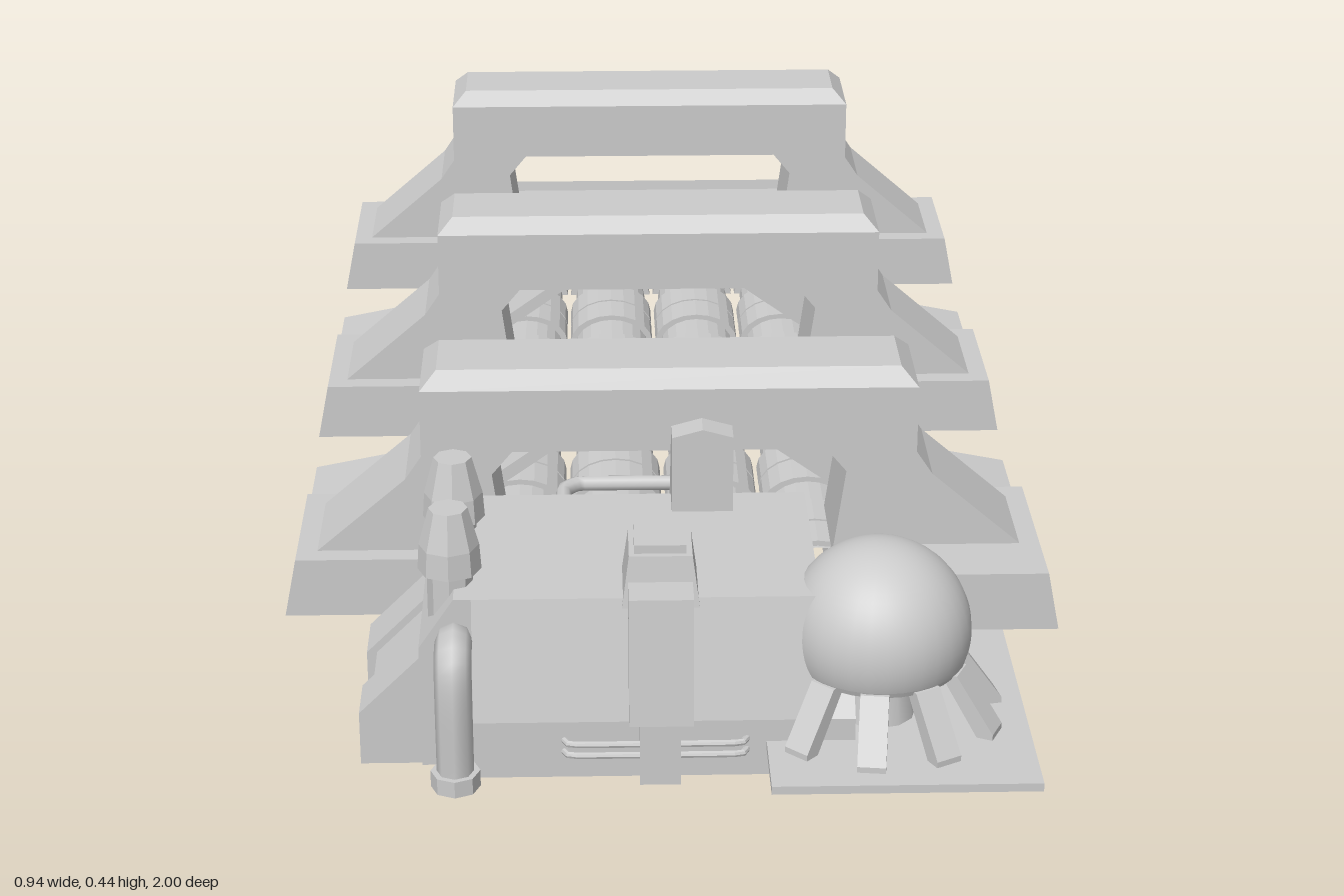
import * as THREE from 'three';

const mat = new THREE.MeshStandardMaterial({ color: 0xcccccc, side: THREE.DoubleSide, flatShading: true });
const smooth = new THREE.MeshStandardMaterial({ color: 0xcccccc, side: THREE.DoubleSide });

export function createModel() {
  const model = new THREE.Group();
  const add = (name, geo, m = mat, parent = model) => {
    const mesh = new THREE.Mesh(geo, m);
    mesh.name = name;
    parent.add(mesh);
    return mesh;
  };
  // box given by its limits; tx and tz pull the top face in
  const box = (x0, x1, y0, y1, z0, z1, tx = 0, tz = 0) => {
    const w = x1 - x0, d = z1 - z0;
    const g = new THREE.BoxGeometry(w, y1 - y0, d);
    const p = g.attributes.position;
    for (let i = 0; i < p.count; i++) {
      if (p.getY(i) > 0) {
        p.setX(i, p.getX(i) * (1 - 2 * tx / w));
        p.setZ(i, p.getZ(i) * (1 - 2 * tz / d));
      }
    }
    return g.translate((x0 + x1) / 2, (y0 + y1) / 2, (z0 + z1) / 2);
  };
  const shape = pts => new THREE.Shape(pts.map(p => new THREE.Vector2(...p)));
  const extrudeZ = (pts, z0, z1) =>
    new THREE.ExtrudeGeometry(shape(pts), { depth: z1 - z0, bevelEnabled: false }).translate(0, 0, z0);
  // profile points are (z, y)
  const extrudeX = (pts, x0, x1) =>
    new THREE.ExtrudeGeometry(shape(pts), { depth: x1 - x0, bevelEnabled: false }).rotateY(-Math.PI / 2).translate(x1, 0, 0);
  const pipe = (pts, r, sharp = 0.1) => new THREE.TubeGeometry(
    new THREE.CatmullRomCurve3(pts.map(p => new THREE.Vector3(...p)), false, 'catmullrom', sharp), 24, r, 8);
  const mirror = pts => [...pts, ...pts.map(([x, y]) => [-x, y]).reverse()];

  // Three gantry arches on side pads
  [-0.61, -0.055, 0.475].forEach((z, i) => {
    const arch = new THREE.Group();
    arch.name = 'arch' + (i + 1);
    model.add(arch);
    const half = [[0.2, 0.2], [0.215, 0.31], [0.19, 0.34]];
    const outer = [[0.43, 0.2], [0.43, 0.21], [0.32, 0.305], [0.3, 0.335], [0.3, 0.42]];
    const right = [...half.slice().reverse(), ...outer];
    add('archFrame', extrudeZ(mirror(right), z - 0.067, z + 0.067), mat, arch);
    add('archCap', box(-0.3, 0.3, 0.42, 0.44, z - 0.067, z + 0.067, 0.02, 0.02), mat, arch);
    for (const s of [-1, 1]) {
      const front = z + (i === 2 && s > 0 ? 0.15 : 0.093);
      const pad = s > 0 ? [0.2, 0.47] : [-0.47, -0.2];
      add('pad', box(...pad, 0.135, 0.21, z - 0.095, front, 0.015, 0), mat, arch);
    }
  });

  // Raised cover plates with side tongues
  const plate = mirror([[0.11, 0.255], [0.26, 0.148], [0.467, 0.105], [0.467, 0.127], [0.26, 0.168], [0.11, 0.275]]);
  for (const z of [-0.33, 0.21]) add('coverPlate', extrudeZ(plate, z - 0.09, z + 0.09));

  // Ribbed conduits along the deck
  const ribs = [];
  for (let i = 0; i <= 18; i++) {
    const z = -0.71 + i * 0.0628, r = i % 3 === 1 ? 0.052 : 0.06;
    ribs.push([r, z], [r, z + 0.058], [0.05, z + 0.058], [0.05, z + 0.0628]);
  }
  for (let i = 0; i < 4; i++) {
    const g = new THREE.LatheGeometry(ribs.map(p => new THREE.Vector2(...p)), 10, Math.PI / 2, Math.PI);
    g.rotateX(Math.PI / 2);
    // keep the arc above the deck
    const p = g.attributes.position;
    for (let k = 0; k < p.count; k++) p.setY(k, Math.abs(p.getY(k)) * 0.7);
    g.computeVertexNormals();
    add('conduit', g.translate(-0.1875 + i * 0.125, 0.143, 0));
  }
  for (const s of [-1, 1]) add('deckEdge', box(s * 0.265 - 0.015, s * 0.265 + 0.015, 0.14, 0.165, -0.71, 0.5));

  // Rear ramp
  add('rearRamp', extrudeX([[-0.7, 0.135], [-0.7, 0.205], [-0.765, 0.205], [-1, 0.137], [-1, 0.135]], -0.31, 0.31));

  // Front machine house
  add('house', extrudeX([[0.57, 0.1], [0.57, 0.25], [0.6, 0.31], [0.87, 0.31], [0.9, 0.17], [0.9, 0.1]], -0.23, 0.16));
  add('houseSide', extrudeX([[0.57, 0.1], [0.57, 0.2], [0.87, 0.2], [0.9, 0.17], [0.9, 0.1]], 0.16, 0.2));
  add('houseShoulder', extrudeZ([[-0.29, 0.1], [-0.22, 0.1], [-0.22, 0.31], [-0.25, 0.31], [-0.29, 0.25]], 0.64, 0.87));
  const side = [[-0.36, 0.1], [-0.28, 0.1], [-0.28, 0.245], [-0.36, 0.165]];
  add('sideHousing', extrudeZ(side, 0.65, 0.72));
  add('sideHousing', extrudeZ(side, 0.8, 0.865));
  add('sideHousingCentre', extrudeZ(side.map(([x, y]) => [x + 0.012, y]), 0.72, 0.8));

  // Front hood, strip and rails
  add('hoodBox', box(-0.062, 0.025, 0.3, 0.36, 0.79, 0.875, 0.008, 0.008));
  add('hoodLid', box(-0.048, 0.01, 0.36, 0.37, 0.805, 0.86));
  add('frontStrip', extrudeX([[0.85, 0.18], [0.93, 0.18], [0.915, 0.33], [0.85, 0.33]], -0.055, 0.017));
  add('frontStripFoot', box(-0.043, 0.003, 0.1, 0.18, 0.89, 0.92));
  for (const y of [0.133, 0.147]) add('frontRail', pipe([[-0.13, y, 0.89], [-0.12, y, 0.91], [0.07, y, 0.91], [0.08, y, 0.89]], 0.004));

  // Wedge block on the roof
  add('roofBlock', extrudeX([[0.53, 0.24], [0.65, 0.28], [0.65, 0.405], [0.615, 0.405]], 0, 0.072));
  add('roofBlockCap', extrudeZ([[0, 0.405], [0.072, 0.405], [0.036, 0.415]], 0.615, 0.65));

  // Vent stacks
  const stack = [[0, 0.24], [0.026, 0.24], [0.026, 0.32], [0.036, 0.325], [0.034, 0.355], [0.022, 0.4], [0, 0.4]];
  for (const z of [0.685, 0.82])
    add('ventStack', new THREE.LatheGeometry(stack.map(p => new THREE.Vector2(...p)), 8).translate(-0.255, 0, z));

  // Bent pipes beside the house
  add('frontPipe', pipe([[-0.25, 0.25, 0.85], [-0.25, 0.265, 0.89], [-0.25, 0.24, 0.92], [-0.25, 0.11, 0.92]], 0.021, 0.5), smooth);
  add('frontPipeFoot', new THREE.CylinderGeometry(0.028, 0.028, 0.02, 8).translate(-0.25, 0.112, 0.92));
  add('rearPipe', pipe([[-0.255, 0.23, 0.66], [-0.255, 0.235, 0.625], [-0.255, 0.21, 0.61], [-0.255, 0.11, 0.61]], 0.02, 0.5), smooth);
  add('rearPipeFoot', new THREE.CylinderGeometry(0.03, 0.03, 0.02, 8).translate(-0.255, 0.112, 0.61));
  add('rearPipeBracket', box(-0.27, -0.2, 0.12, 0.16, 0.56, 0.6));

  // Dome on splayed legs
  const dome = new THREE.Group();
  dome.name = 'dome';
  dome.position.set(0.23, 0, 0.83);
  model.add(dome);
  add('domeShell', new THREE.SphereGeometry(0.105, 32, 20, 0, Math.PI * 2, 0, Math.PI * 0.6).translate(0, 0.25, 0), smooth, dome);
  add('domeFloor', new THREE.CylinderGeometry(0.1, 0.095, 0.012, 32).translate(0, 0.216, 0), smooth, dome);
  add('domeCore', new THREE.CylinderGeometry(0.035, 0.045, 0.08, 12).translate(0, 0.18, 0), smooth, dome);
  for (let i = 0; i < 10; i++) {
    const leg = add('domeLeg', extrudeZ([[0.08, 0.215], [0.1, 0.215], [0.145, 0.15], [0.145, 0.14], [0.128, 0.14]], -0.016, 0.016), mat, dome);
    leg.rotation.y = (i + 0.3) * Math.PI / 5;
  }
  add('domePlate', box(0.1, 0.4, 0.133, 0.143, 0.64, 1));

  // Boxes hanging below the house
  add('lowerTank', box(-0.083, 0.16, 0.02, 0.14, 0.39, 0.6));
  add('lowerBlock', box(-0.205, -0.155, 0.04, 0.14, 0.56, 0.61));
  add('lowerFoot', box(-0.16, -0.1, 0, 0.14, 0.42, 0.485));

  // Link rods, valve and hose behind the house
  for (let i = 0; i < 6; i++) {
    const x = -0.14 + i * 0.056;
    add('linkRod', box(x - 0.012, x + 0.012, 0.175, 0.2, 0.39, 0.58));
  }
  add('linkBar', box(-0.17, 0.17, 0.165, 0.19, 0.4, 0.42));
  add('valve', new THREE.CylinderGeometry(0.03, 0.03, 0.06, 8).translate(0.04, 0.185, 0.325));
  add('valveBase', box(0.015, 0.065, 0.16, 0.2, 0.34, 0.4));
  add('hose', pipe([[0.04, 0.195, 0.325], [-0.11, 0.195, 0.325], [-0.13, 0.195, 0.345], [-0.13, 0.195, 0.43]], 0.01), smooth);

  return model;
}
